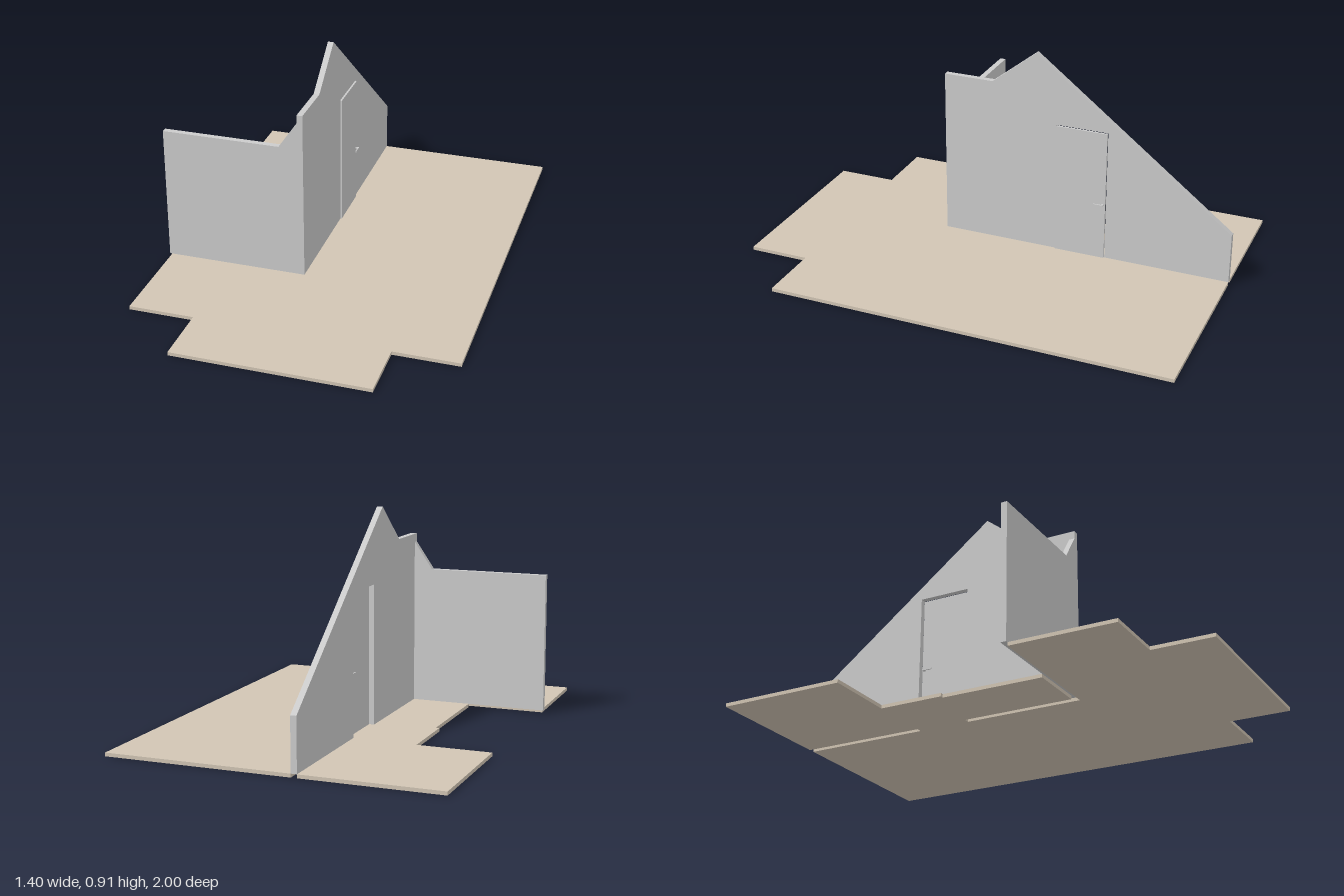
import * as THREE from 'three';

const FLOOR = 0.015; // slab thickness
const grey = new THREE.MeshStandardMaterial({ color: 0xcccccc });
const sand = new THREE.MeshStandardMaterial({ color: 0xd1c5b4 });

const extrude = (points, depth) => new THREE.ExtrudeGeometry(
  new THREE.Shape(points.map(([x, y]) => new THREE.Vector2(x, y))),
  { depth, bevelEnabled: false });

function add(group, name, geometry, material = grey) {
  const mesh = new THREE.Mesh(geometry, material);
  mesh.name = name;
  group.add(mesh);
  return mesh;
}

// Box given by its minimum and maximum corners
function boxBetween(a, b) {
  const size = b.map((v, i) => v - a[i]);
  return new THREE.BoxGeometry(...size).translate(...a.map((v, i) => v + size[i] / 2));
}

export function createModel() {
  const model = new THREE.Group();
  model.name = 'roomSection';

  // Floor slab, drawn as (x, z), with slots under the walls and a door threshold
  const outline = [
    [-0.085, -1], [0.7, -1], [0.7, 0.74], [0.42, 0.74], [0.42, 1], [-0.41, 1],
    [-0.41, 0.74], [-0.69, 0.74], [-0.69, 0.295], [-0.085, 0.295], [-0.085, -0.22],
    [-0.11, -0.22], [-0.11, 0.27], [-0.365, 0.27], [-0.365, -0.175], [-0.38, -0.175],
    [-0.38, -0.455], [-0.69, -0.455], [-0.69, -1], [-0.11, -1], [-0.11, -0.45],
    [-0.085, -0.45],
  ];
  add(model, 'floor', extrude(outline.map(([x, z]) => [x, -z]), FLOOR).rotateX(-Math.PI / 2), sand);

  // Gabled long wall, drawn as (z, y), with a doorway open at the bottom
  const gable = [
    [0.295, FLOOR], [0.295, 0.755], [0.073, 0.755], [-0.125, 0.912], [-1, 0.235],
    [-1, FLOOR], [-0.45, FLOOR], [-0.45, 0.603], [-0.22, 0.603], [-0.22, FLOOR],
  ];
  add(model, 'gableWall', extrude(gable.map(([z, y]) => [-z, y]), 0.025).rotateY(Math.PI / 2))
    .position.x = -0.11;

  // Short cross wall with a sloped step up to the gable wall
  const cross = [[-0.7, FLOOR], [-0.11, FLOOR], [-0.11, 0.72], [-0.19, 0.603], [-0.7, 0.603]];
  add(model, 'crossWall', extrude(cross, 0.025)).position.z = 0.27;

  // Door leaf, slightly proud of the wall, with a lever handle on each side
  const door = new THREE.Group();
  door.name = 'door';
  model.add(door);
  add(door, 'doorLeaf', boxBetween([-0.088, FLOOR, -0.448], [-0.079, 0.6, -0.222]));
  for (const [face, side] of [[-0.079, 1], [-0.088, -1]]) {
    const tip = face + side * 0.015;
    const span = (p, q) => [Math.min(p, q), Math.max(p, q)];
    const [s0, s1] = span(face, tip);
    const [l0, l1] = span(tip - side * 0.005, tip);
    add(door, 'handleStem', boxBetween([s0, 0.268, -0.441], [s1, 0.274, -0.433]));
    add(door, 'handleLever', boxBetween([l0, 0.268, -0.433], [l1, 0.274, -0.398]));
  }

  return model;
}
